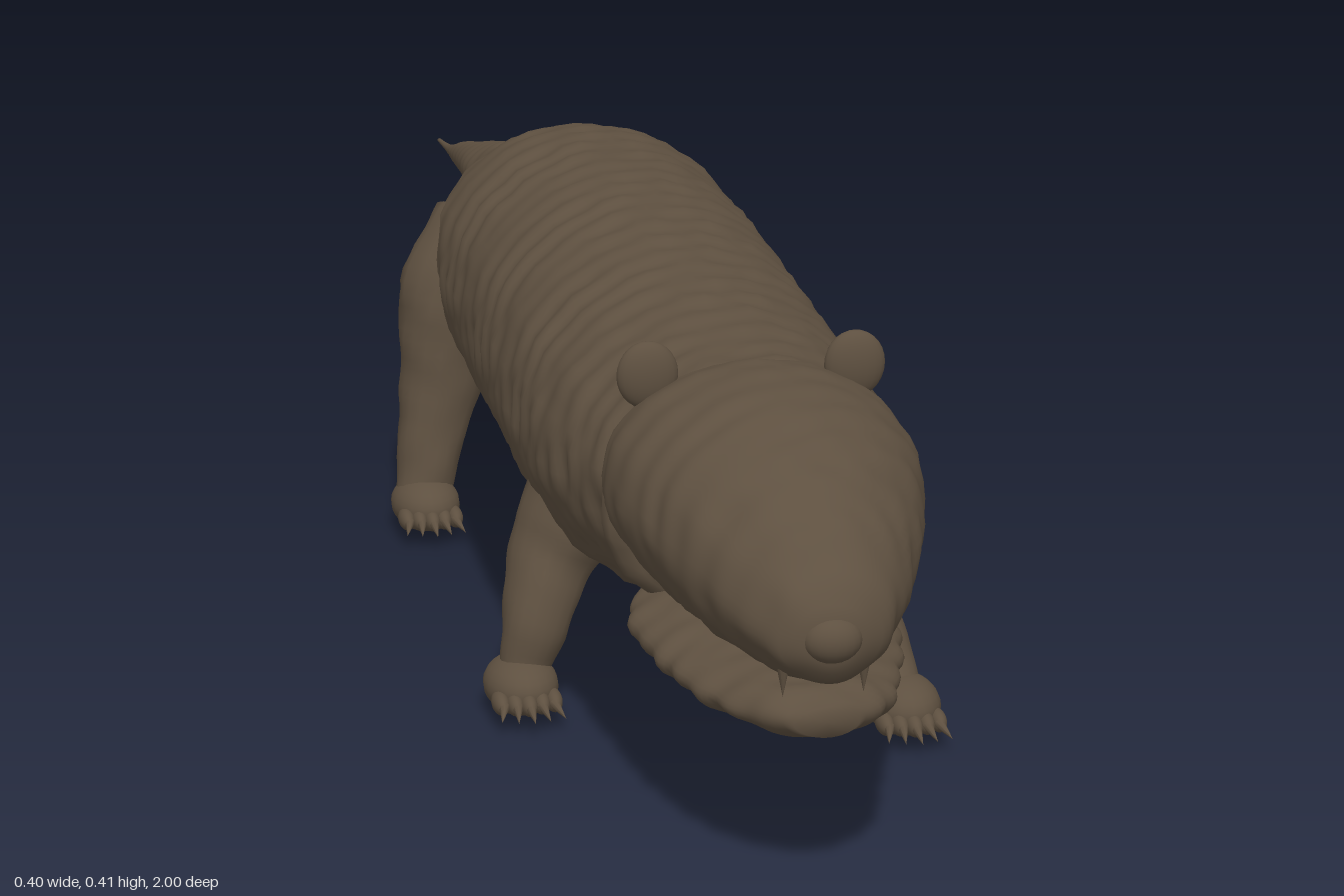
import * as THREE from 'three';
import { mergeVertices } from 'three/addons/utils/BufferGeometryUtils.js';

const hide = new THREE.MeshStandardMaterial({ color: 0x5e5040 });
hide.name = 'brown hide';

// Smooth repeatable bumps for the scaly skin, about -1..1
const bumps = (x, y, z) =>
  0.4 * Math.sin(95 * x + 3 * Math.sin(31 * z)) * Math.sin(88 * z + 2 * Math.sin(43 * y)) +
  0.35 * Math.sin(120 * y + 57 * z) * Math.cos(83 * x - 61 * z) +
  0.25 * Math.sin(150 * z + 40 * x);

// Weld seams and give smooth normals
function weld(geo) {
  geo.deleteAttribute('uv');
  geo.deleteAttribute('normal');
  const out = mergeVertices(geo, 1e-5);
  out.computeVertexNormals();
  return out;
}

function add(group, name, geo) {
  const mesh = new THREE.Mesh(geo, hide);
  mesh.name = name;
  group.add(mesh);
  return mesh;
}

// Oval rings along z; each section is [z, top, bottom, halfWidth], z rising
function loft(sections, rings, sides, rough) {
  const spline = new THREE.CubicInterpolant(
    sections.map(s => s[0]), sections.flatMap(s => s.slice(1)), 3);
  const z0 = sections[0][0], z1 = sections[sections.length - 1][0];
  const geo = new THREE.CylinderGeometry(1, 1, 1, sides, rings).rotateX(Math.PI / 2);
  const p = geo.attributes.position;
  for (let i = 0; i < p.count; i++) {
    const z = THREE.MathUtils.clamp(z0 + (p.getZ(i) + 0.5) * (z1 - z0), z0, z1);
    const [top, bottom, w] = spline.evaluate(z);
    const h = (top - bottom) / 2;
    const x = p.getX(i), y = p.getY(i);
    const nx = x * w, ny = (top + bottom) / 2 + y * h;
    const d = rough * bumps(nx, ny, z) * Math.min(1, w / 0.06);
    p.setXYZ(i, nx + x * d, ny + y * d, z + d * 0.5);
  }
  return weld(geo);
}

// Limb through points [x, y, z, radius]
function limb(points) {
  const curve = new THREE.CatmullRomCurve3(points.map(q => new THREE.Vector3(q[0], q[1], q[2])));
  const rings = 28, sides = 18;
  const geo = new THREE.TubeGeometry(curve, rings, 1, sides, false);
  const p = geo.attributes.position, v = new THREE.Vector3();
  for (let i = 0; i < p.count; i++) {
    const t = Math.floor(i / (sides + 1)) / rings;
    const f = t * (points.length - 1), k = Math.min(Math.floor(f), points.length - 2);
    const r = THREE.MathUtils.lerp(points[k][3], points[k + 1][3], f - k);
    const c = curve.getPointAt(t);
    v.fromBufferAttribute(p, i).sub(c).multiplyScalar(r);
    v.multiplyScalar(1 + 0.07 * bumps(c.x + v.x, c.y + v.y, c.z + v.z)).add(c);
    p.setXYZ(i, v.x, v.y, v.z);
  }
  return weld(geo);
}

function ball(group, name, pos, scale) {
  const mesh = add(group, name, new THREE.SphereGeometry(1, 20, 14));
  mesh.position.set(...pos);
  mesh.scale.set(...scale);
  return mesh;
}

// Leg with a foot whose sole rests near the ground, plus five claws
function leg(parent, name, points, foot) {
  const group = new THREE.Group();
  group.name = name;
  add(group, name + 'Limb', limb(points));
  const [x, z] = foot;
  ball(group, 'foot', [x, 0.03, z], [0.034, 0.027, 0.046]);
  for (let i = -2; i <= 2; i++) {
    const tx = x + i * 0.012, tz = z + 0.04 - Math.abs(i) * 0.004;
    ball(group, 'toe', [tx, 0.024, tz], [0.008, 0.01, 0.02]);
    const claw = add(group, 'claw', new THREE.ConeGeometry(0.005, 0.026, 8));
    claw.rotation.set(Math.PI / 2 + 0.25, 0, -i * 0.12);
    claw.position.set(tx + i * 0.001, 0.022, tz + 0.026);
  }
  parent.add(group);
}

export function createModel() {
  const model = new THREE.Group();
  model.name = 'longBodiedAnimal';

  // Torso running into the tapering tail
  add(model, 'bodyAndTail', loft([
    [-1, 0.156, 0.152, 0.002], [-0.93, 0.167, 0.158, 0.005], [-0.8, 0.203, 0.172, 0.018],
    [-0.6, 0.254, 0.192, 0.037], [-0.42, 0.295, 0.2, 0.052], [-0.3, 0.32, 0.192, 0.07],
    [-0.22, 0.362, 0.165, 0.115], [-0.14, 0.39, 0.145, 0.145], [0, 0.4, 0.12, 0.154],
    [0.2, 0.4, 0.114, 0.156], [0.4, 0.39, 0.114, 0.158], [0.52, 0.383, 0.128, 0.154],
    [0.6, 0.377, 0.142, 0.142], [0.66, 0.375, 0.152, 0.128], [0.7, 0.36, 0.17, 0.11],
    [0.715, 0.3, 0.23, 0.03],
  ], 200, 56, 0.005));

  // Head with blunt snout
  const head = new THREE.Group();
  head.name = 'head';
  model.add(head);
  add(head, 'skull', loft([
    [0.63, 0.34, 0.25, 0.08], [0.65, 0.375, 0.215, 0.115], [0.68, 0.39, 0.198, 0.132],
    [0.74, 0.391, 0.19, 0.134], [0.8, 0.382, 0.187, 0.122], [0.86, 0.36, 0.188, 0.104],
    [0.91, 0.333, 0.19, 0.083], [0.95, 0.306, 0.196, 0.062], [0.975, 0.283, 0.205, 0.045],
    [0.988, 0.262, 0.222, 0.022],
  ], 60, 48, 0.003));
  add(head, 'lowerJaw', loft([
    [0.64, 0.2, 0.155, 0.09], [0.7, 0.202, 0.138, 0.112], [0.77, 0.197, 0.135, 0.108],
    [0.84, 0.19, 0.137, 0.094], [0.9, 0.187, 0.14, 0.076], [0.94, 0.185, 0.144, 0.055],
    [0.965, 0.178, 0.152, 0.028],
  ], 50, 40, 0.004));
  ball(head, 'nose', [0, 0.243, 0.982], [0.025, 0.02, 0.018]);

  // Ears and fangs in mirrored pairs
  for (const s of [-1, 1]) {
    const side = s > 0 ? 'left' : 'right';
    ball(head, side + 'Ear', [s * 0.091, 0.379, 0.67], [0.027, 0.03, 0.013]);
    const fang = add(head, side + 'Fang', new THREE.ConeGeometry(0.007, 0.035, 10));
    fang.rotation.x = Math.PI;
    fang.position.set(s * 0.034, 0.202, 0.952);
  }

  // Legs caught mid-stride
  leg(model, 'leftFrontLeg', [
    [0.1, 0.2, 0.44, 0.05], [0.125, 0.135, 0.47, 0.045], [0.143, 0.085, 0.525, 0.035],
    [0.155, 0.05, 0.56, 0.029], [0.16, 0.032, 0.58, 0.02],
  ], [0.161, 0.58]);
  leg(model, 'rightFrontLeg', [
    [-0.1, 0.2, 0.42, 0.05], [-0.13, 0.14, 0.43, 0.045], [-0.15, 0.085, 0.455, 0.036],
    [-0.16, 0.05, 0.46, 0.03], [-0.165, 0.032, 0.465, 0.02],
  ], [-0.166, 0.465]);
  leg(model, 'leftHindLeg', [
    [0.09, 0.29, -0.18, 0.055], [0.125, 0.23, -0.175, 0.06], [0.145, 0.15, -0.155, 0.046],
    [0.16, 0.085, -0.175, 0.034], [0.168, 0.04, -0.19, 0.028],
  ], [0.168, -0.18]);
  leg(model, 'rightHindLeg', [
    [-0.09, 0.29, -0.14, 0.055], [-0.125, 0.23, -0.115, 0.06], [-0.145, 0.15, -0.1, 0.046],
    [-0.16, 0.085, -0.085, 0.034], [-0.168, 0.04, -0.075, 0.028],
  ], [-0.168, -0.065]);

  return model;
}
